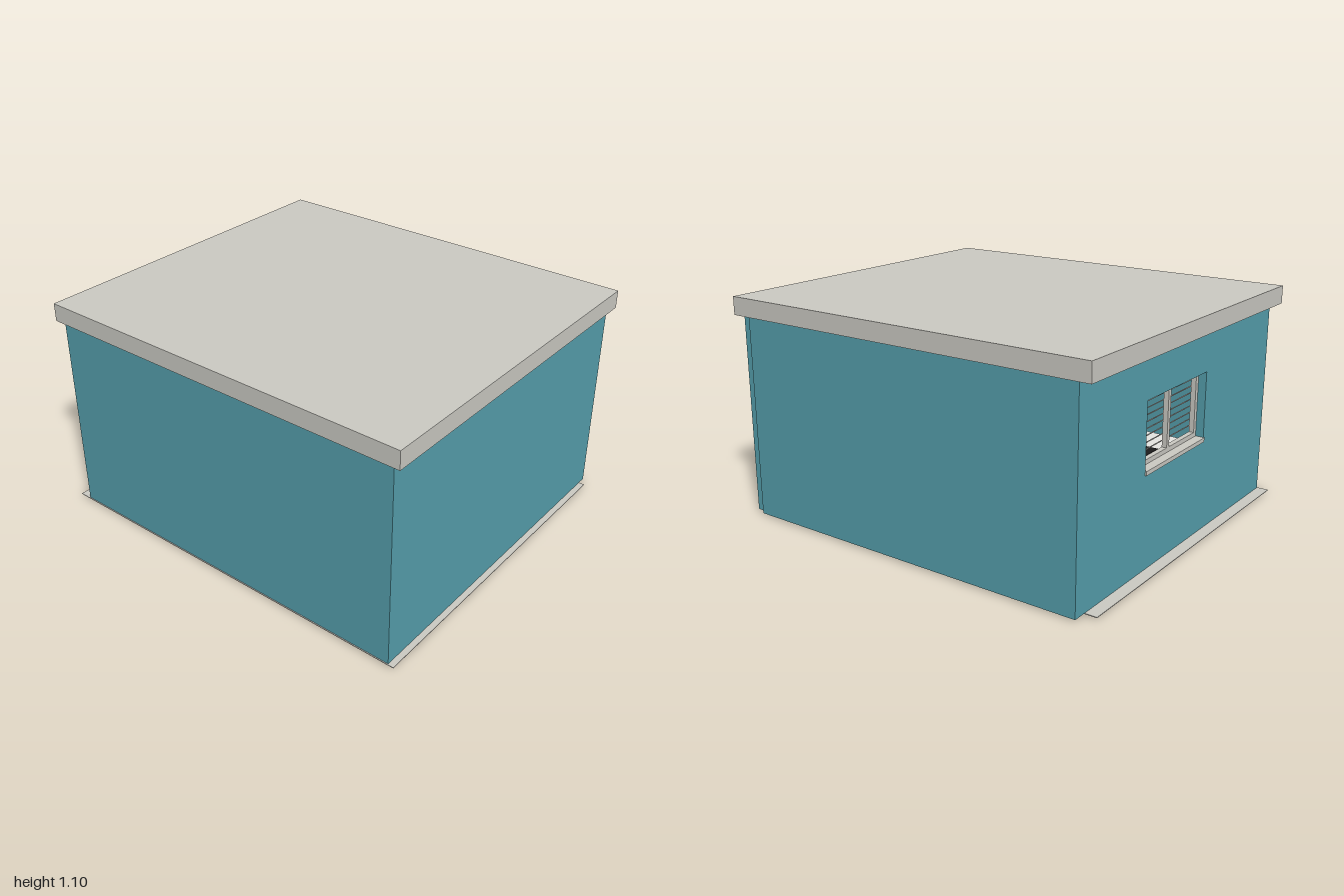
import * as THREE from 'three';

const mat = (color) => new THREE.MeshStandardMaterial({ color });
const teal = mat(0x56a0ad);
const pale = mat(0xcccbc4);
const white = mat(0xe6e6e2);
const black = mat(0x1c1c1c);

// Box given by its min and max corners
function block(parent, name, material, [x0, y0, z0], [x1, y1, z1]) {
  const mesh = new THREE.Mesh(new THREE.BoxGeometry(x1 - x0, y1 - y0, z1 - z0), material);
  mesh.position.set((x0 + x1) / 2, (y0 + y1) / 2, (z0 + z1) / 2);
  mesh.name = name;
  parent.add(mesh);
  return mesh;
}

function rod(parent, name, material, radius, height, x, y, z) {
  const mesh = new THREE.Mesh(new THREE.CylinderGeometry(radius, radius, height, 12), material);
  mesh.position.set(x, y, z);
  mesh.name = name;
  parent.add(mesh);
  return mesh;
}

function group(parent, name) {
  const g = new THREE.Group();
  g.name = name;
  parent.add(g);
  return g;
}

const win = { z0: -0.343, z1: 0.205, y0: 0.47, y1: 0.80 };

// Wall with a rectangular window opening, drawn in (z, y)
function windowWall(parent) {
  const s = new THREE.Shape();
  s.moveTo(-0.85, 0.01).lineTo(0.83, 0.01).lineTo(0.83, 1.01).lineTo(-0.85, 1.01).closePath();
  const hole = new THREE.Path();
  hole.moveTo(win.z0, win.y0).lineTo(win.z0, win.y1).lineTo(win.z1, win.y1).lineTo(win.z1, win.y0).closePath();
  s.holes.push(hole);
  const geo = new THREE.ExtrudeGeometry(s, { depth: 0.06, bevelEnabled: false });
  geo.rotateY(-Math.PI / 2);
  const wall = new THREE.Mesh(geo, teal);
  wall.position.x = -0.88;
  wall.name = 'windowWall';
  parent.add(wall);
}

function buildWindow(parent) {
  const g = group(parent, 'window');
  const { z0, z1, y0, y1 } = win;
  const xa = -0.9, xb = -0.875, t = 0.022;
  block(g, 'windowSill', pale, [-0.946, y0 - 0.008, z0], [xb, y0 + 0.012, z1]);
  block(g, 'frameTop', pale, [xa, y1 - t, z0], [xb, y1, z1]);
  block(g, 'frameBottom', pale, [xa, y0 + 0.012, z0], [xb, y0 + 0.012 + t, z1]);
  for (const z of [z0, (z0 + z1 - t) / 2, z1 - t])
    block(g, 'frameUpright', pale, [xa, y0, z], [xb, y1, z + t]);
  // Horizontal security bars
  for (let y = y0 + 0.06; y < y1 - t; y += 0.032)
    block(g, 'windowBar', pale, [-0.873, y, z0], [-0.869, y + 0.004, z1]);
}

// L-shaped desk with four legs and its equipment
function buildDesk(parent) {
  const g = group(parent, 'desk');
  block(g, 'deskTopBack', white, [-0.86, 0.37, -0.78], [0.2, 0.39, -0.42]);
  block(g, 'deskTopSide', white, [-0.86, 0.37, -0.42], [-0.54, 0.39, 0.37]);
  for (const [x, z] of [[0.17, -0.72], [-0.83, -0.73], [-0.83, 0.34], [-0.57, 0.34]])
    block(g, 'deskLeg', black, [x - 0.014, 0.002, z - 0.014], [x + 0.014, 0.37, z + 0.014]);
  block(g, 'computerCase', black, [-0.45, 0, -0.74], [-0.3, 0.3, -0.59]);
  block(g, 'keyboard', black, [-0.74, 0.39, -0.03], [-0.66, 0.403, 0.14]);
}

function buildChair(parent) {
  const g = group(parent, 'officeChair');
  g.position.set(-0.08, 0, -0.35);
  for (let i = 0; i < 5; i++) {
    const a = (i / 5) * Math.PI * 2 + 0.3;
    const spoke = group(g, 'chairSpoke');
    spoke.rotation.y = a;
    block(spoke, 'chairArm', black, [0, 0.03, -0.01], [0.15, 0.045, 0.01]);
    rod(spoke, 'chairCaster', black, 0.012, 0.028, 0.14, 0.016, 0);
  }
  rod(g, 'chairColumn', black, 0.015, 0.2, 0, 0.125, 0);
  block(g, 'chairSeat', black, [-0.12, 0.22, -0.12], [0.12, 0.25, 0.12]);
  block(g, 'chairBack', black, [-0.11, 0.25, 0.1], [0.11, 0.5, 0.125]);
}

export function createModel() {
  const model = new THREE.Group();
  model.name = 'flatRoofHouse';

  block(model, 'roof', pale, [-1, 1.01, -0.89], [1, 1.1, 0.89]);
  block(model, 'floorSlab', pale, [-1, 0.007, -0.81], [1, 0.0105, 0.89]);

  // Walls; the back one stops short so its corner is notched
  block(model, 'frontWall', teal, [-0.94, 0.01, 0.83], [0.97, 1.01, 0.885]);
  block(model, 'leftWall', teal, [0.91, 0.01, -0.855], [0.97, 1.01, 0.83]);
  block(model, 'backWall', teal, [-0.94, 0.01, -0.88], [0.91, 1.01, -0.83]);
  windowWall(model);

  buildWindow(model);
  buildDesk(model);
  buildChair(model);
  return model;
}
